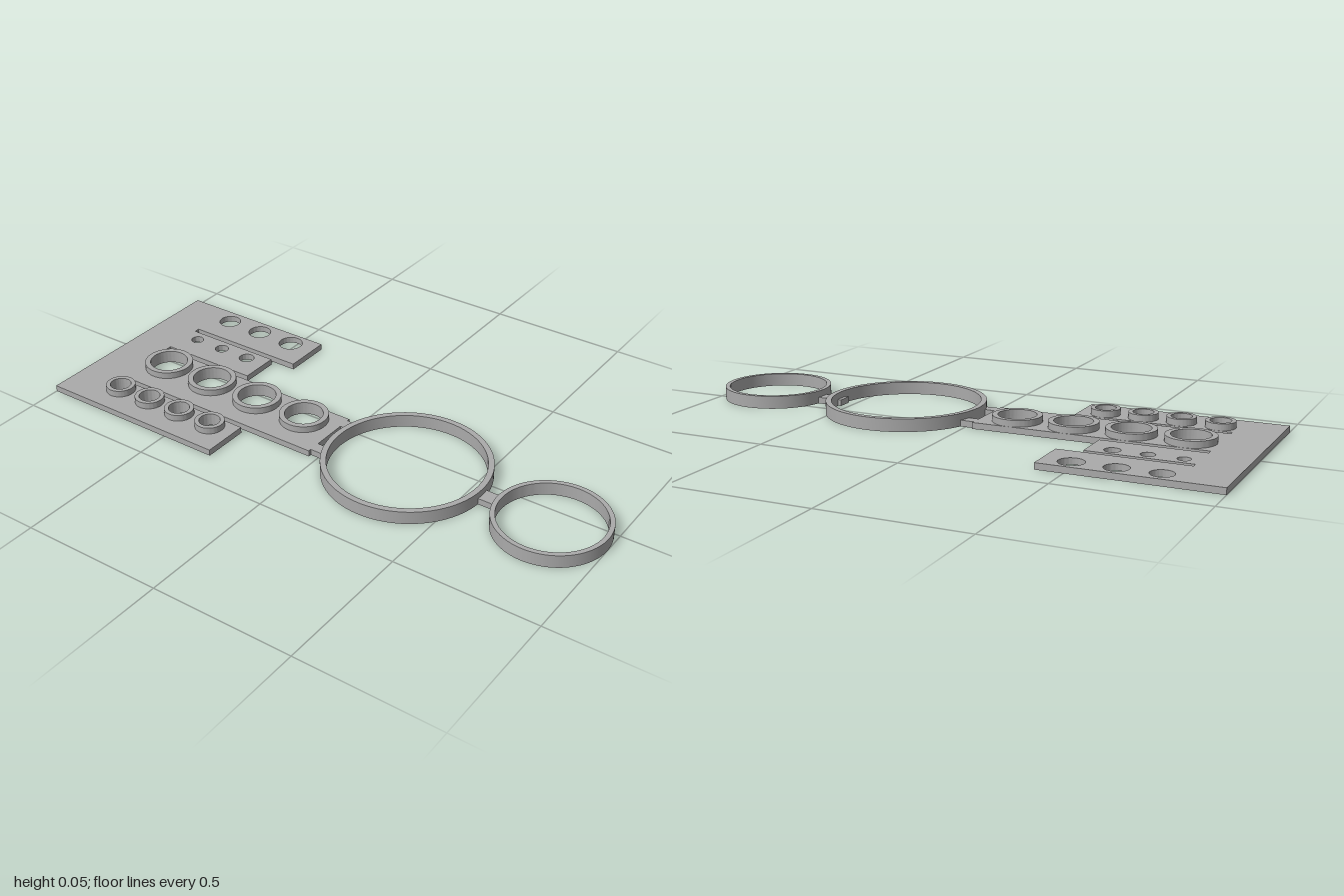
import * as THREE from 'three';
import { toCreasedNormals } from 'three/addons/utils/BufferGeometryUtils.js';

const PLATE = 0.022, TALL = 0.045;

const grey = new THREE.MeshStandardMaterial({ color: 0xaaaaaa });
grey.name = 'grey plastic';

function circle(target, x, z, r) {
  target.absarc(x, z, r, 0, Math.PI * 2, false);
  return target;
}

// Extrude a plan-view shape (x, z) upwards from y0 to y1
function slab(name, shape, y0, y1) {
  const g = new THREE.ExtrudeGeometry(shape, { depth: y1 - y0, bevelEnabled: false, curveSegments: 48 });
  g.rotateX(Math.PI / 2);
  g.translate(0, y1, 0);
  const mesh = new THREE.Mesh(toCreasedNormals(g, 0.5), grey);
  mesh.name = name;
  return mesh;
}

function ring(name, x, z, outer, inner, y0) {
  const s = circle(new THREE.Shape(), x, z, outer);
  s.holes.push(circle(new THREE.Path(), x, z, inner));
  return slab(name, s, y0, TALL);
}

function bar(name, x0, x1, z0, z1) {
  const g = new THREE.BoxGeometry(x1 - x0, PLATE, z1 - z0);
  g.translate((x0 + x1) / 2, PLATE / 2, (z0 + z1) / 2);
  const mesh = new THREE.Mesh(g, grey);
  mesh.name = name;
  return mesh;
}

// Fingers of the comb plate; each hole is [x, radius], collar is the raised rim's outer radius
const fingers = [
  { z0: -0.385, z1: -0.212, end: -0.405, z: -0.327, holes: [[-0.79, 0.039], [-0.648, 0.041], [-0.503, 0.043]] },
  { z0: -0.193, z1: -0.053, end: -0.49, z: -0.15, holes: [[-0.802, 0.022], [-0.686, 0.024], [-0.57, 0.027]] },
  { z0: -0.031, z1: 0.201, end: -0.03, z: 0.055, collar: 0.085,
    holes: [[-0.761, 0.066], [-0.561, 0.066], [-0.36, 0.066], [-0.158, 0.066]] },
  { z0: 0.219, z1: 0.385, end: -0.3, z: 0.271, collar: 0.051,
    holes: [[-0.796, 0.036], [-0.662, 0.036], [-0.528, 0.036], [-0.393, 0.036]] },
];

export function createModel() {
  const model = new THREE.Group();
  model.name = 'sizing gauge';

  // Comb plate with narrow slots between the fingers
  const plate = new THREE.Shape();
  plate.moveTo(-1, -0.385);
  fingers.forEach((f, i) => {
    if (i > 0) plate.lineTo(-0.85, f.z0);
    plate.lineTo(f.end, f.z0);
    plate.lineTo(f.end, f.z1);
    if (i < fingers.length - 1) plate.lineTo(-0.85, f.z1);
  });
  plate.lineTo(-1, 0.385);
  plate.closePath();
  for (const f of fingers)
    for (const [x, r] of f.holes) plate.holes.push(circle(new THREE.Path(), x, f.z, r));
  model.add(slab('combPlate', plate, 0, PLATE));

  // Raised collars around the larger holes
  for (const f of fingers)
    if (f.collar) for (const [x, r] of f.holes) model.add(ring('collar', x, f.z, f.collar, r, PLATE));

  // Two large rings and the links that hold them
  model.add(ring('largeRing', 0.28, 0.086, 0.282, 0.262, 0));
  model.add(ring('smallRing', 0.809, 0.086, 0.191, 0.175, 0));
  model.add(bar('plateLink', -0.03, 0.02, -0.02, 0.021));
  model.add(bar('plateLink', -0.03, 0.02, 0.149, 0.19));
  model.add(bar('ringLink', 0.528, 0.625, 0.055, 0.109));

  return model;
}
